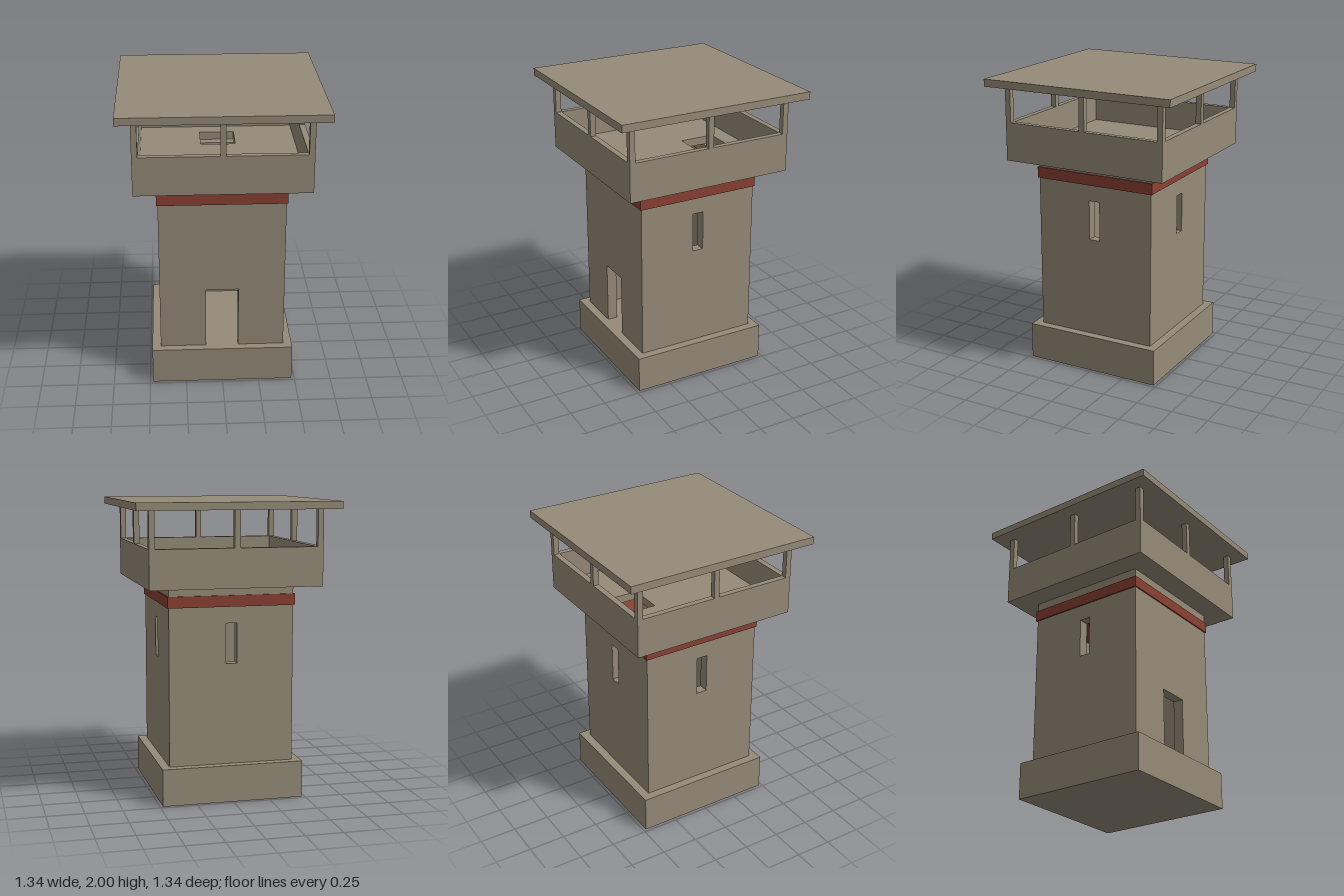
import * as THREE from 'three';

const stone = new THREE.MeshStandardMaterial({ color: 0x968b78 });
stone.name = 'stone';
const red = new THREE.MeshStandardMaterial({ color: 0x8a4033 });
red.name = 'redBand';

export function createModel() {
  const tower = new THREE.Group();
  tower.name = 'watchtower';

  const box = (name, w, h, d, x, y0, z, mat = stone, parent = tower) => {
    const m = new THREE.Mesh(new THREE.BoxGeometry(w, h, d), mat);
    m.name = name;
    m.position.set(x, y0 + h / 2, z);
    parent.add(m);
    return m;
  };
  const rect = (Type, x0, y0, x1, y1) => new Type([
    [x0, y0], [x1, y0], [x1, y1], [x0, y1]].map(([x, y]) => new THREE.Vector2(x, y)));
  const slab = (name, shape, depth, parent = tower) => {
    const m = new THREE.Mesh(new THREE.ExtrudeGeometry(shape, { depth, bevelEnabled: false }), stone);
    m.name = name;
    parent.add(m);
    return m;
  };

  // Plinth
  box('base', 0.96, 0.25, 0.96, 0, 0, 0);

  // Hollow shaft: doorway in front, a slit window in each other wall
  const R = 0.422, T = 0.07, Y0 = 0.25, Y1 = 1.445;
  ['frontWall', 'leftWall', 'backWall', 'rightWall'].forEach((name, i) => {
    const half = i % 2 ? R - T : R;
    let shape;
    if (i === 0) {
      shape = new THREE.Shape([
        [-half, Y0], [-0.11, Y0], [-0.11, 0.68], [0.11, 0.68], [0.11, Y0],
        [half, Y0], [half, Y1], [-half, Y1],
      ].map(([x, y]) => new THREE.Vector2(x, y)));
    } else {
      shape = rect(THREE.Shape, -half, Y0, half, Y1);
      shape.holes.push(rect(THREE.Path, -0.038, 0.93, 0.038, 1.2));
    }
    const side = new THREE.Group();
    side.name = name + 'Side';
    side.rotation.y = i * Math.PI / 2;
    slab(name, shape, T, side).position.z = R - T;
    tower.add(side);
  });

  // Painted band, a full storey slab
  box('band', 0.862, 0.075, 0.862, 0, 1.31, 0, red);

  // Lookout floor with a hatch opening
  const P = 0.576, W = 0.04, F = 0.055;
  const floorShape = rect(THREE.Shape, -P + W, -P + W, P - W, P - W);
  floorShape.holes.push(rect(THREE.Path, -0.12, 0.18, 0.12, 0.42));
  const floor = slab('lookoutFloor', floorShape, F);
  floor.rotation.x = -Math.PI / 2;
  floor.position.y = Y1;

  // Parapet and posts
  for (const s of [-1, 1]) {
    box('parapet', 2 * P, 0.26, W, 0, Y1, s * (P - W / 2));
    box('parapet', W, 0.26, 2 * (P - W), s * (P - W / 2), Y1, 0);
  }
  for (const i of [-1, 0, 1]) for (const j of [-1, 0, 1]) {
    if (!i && !j) continue;
    box('post', 0.038, 0.245, 0.038, i * (P - 0.019), 1.705, j * (P - 0.019));
  }

  // Flat roof
  box('roof', 1.344, 0.05, 1.344, 0, 1.95, 0);

  return tower;
}
